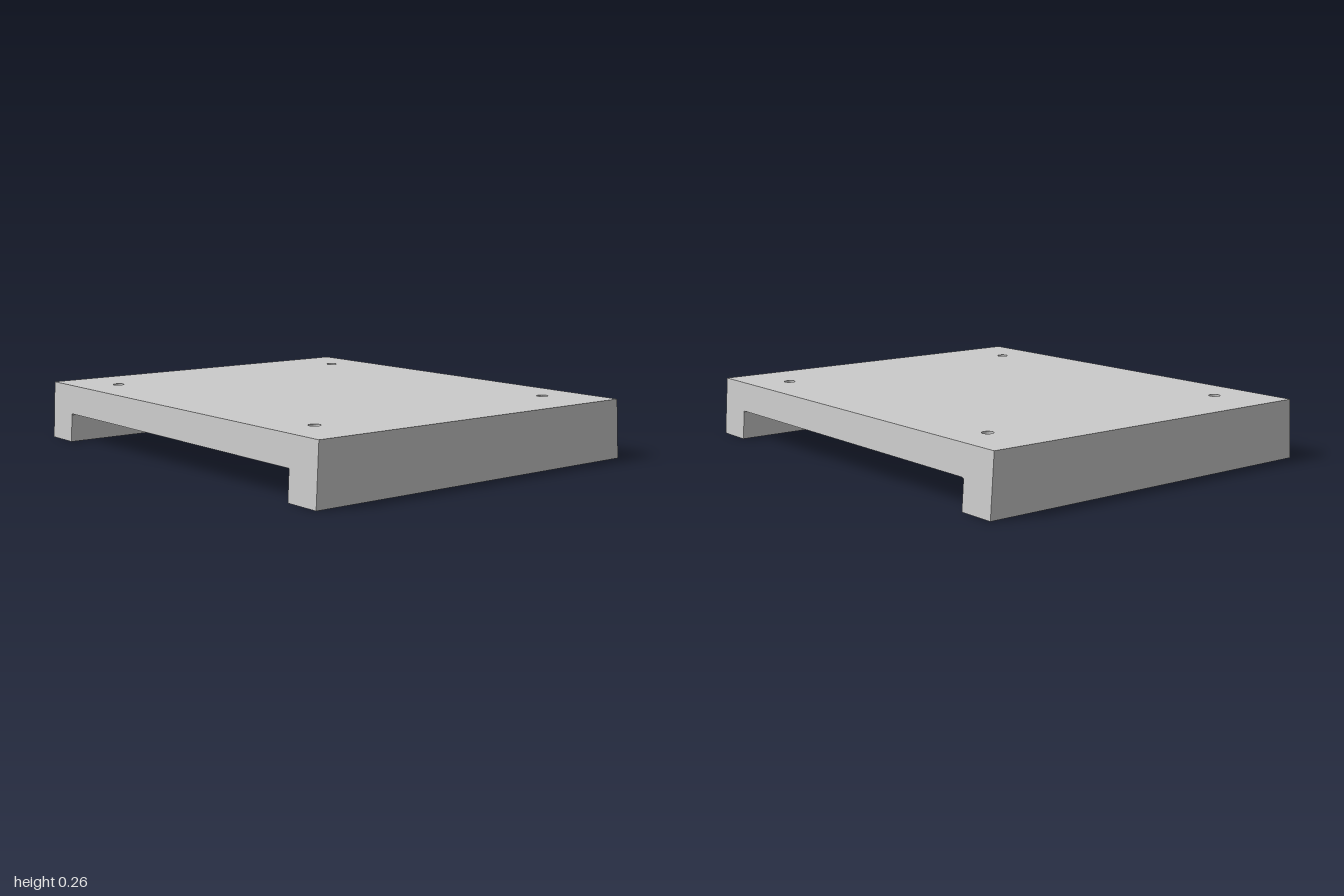
import * as THREE from 'three';
import { toCreasedNormals } from 'three/addons/utils/BufferGeometryUtils.js';

const H = 0.26;        // total height
const CEIL = 0.23;     // underside of the top plate
const RIM = 0.13;      // underside of rims and screw bosses
const LEG = 0.83;      // inner face of the legs
const HOLE = { x: 0.735, z: 0.63 };

// outer front and back faces lean inward slightly towards the top
const frontZ = (y) => 0.83 - 0.013 * y / H;
const backZ = (y) => -0.828 + 0.018 * y / H;

const poly = (pts) => new THREE.Shape(pts.map(([a, b]) => new THREE.Vector2(a, b)));
const circle = (x, y, r) => new THREE.Path().absarc(x, y, r, 0, Math.PI * 2, true);

// plan outline (x, -z) raised from y0 to y1, with the outer faces leaned
function slab(shape, y0, y1) {
  const geo = new THREE.ExtrudeGeometry(shape, { depth: y1 - y0, bevelEnabled: false, curveSegments: 16 });
  geo.rotateX(-Math.PI / 2).translate(0, y0, 0);
  const p = geo.attributes.position;
  for (let i = 0; i < p.count; i++) {
    if (p.getZ(i) > 0.8) p.setZ(i, frontZ(p.getY(i)));
    if (p.getZ(i) < -0.8) p.setZ(i, backZ(p.getY(i)));
  }
  return toCreasedNormals(geo, 0.5);
}

// side outline (-z, y) run along x from x0 to x1
function bar(shape, x0, x1) {
  const geo = new THREE.ExtrudeGeometry(shape, { depth: x1 - x0, bevelEnabled: false });
  return geo.rotateY(Math.PI / 2).translate(x0, 0, 0);
}

export function createModel() {
  const group = new THREE.Group();
  const material = new THREE.MeshStandardMaterial({ color: 0xcccccc });
  const add = (name, geo) => {
    const mesh = new THREE.Mesh(geo, material);
    mesh.name = name;
    group.add(mesh);
  };

  // top plate with four screw holes
  const plate = poly([[-1, -0.82], [1, -0.82], [1, 0.82], [-1, 0.82]]);
  for (const sx of [-1, 1]) for (const sz of [-1, 1])
    plate.holes.push(circle(sx * HOLE.x, sz * HOLE.z, 0.025));
  add('topPlate', slab(plate, CEIL, H));

  // front and back rims, each with a drilled boss at both ends
  for (const s of [-1, 1]) {
    const rim = poly([
      [-LEG, s * 0.82], [LEG, s * 0.82], [LEG, s * 0.55], [0.62, s * 0.55],
      [0.62, s * 0.775], [-0.62, s * 0.775], [-0.62, s * 0.55], [-LEG, s * 0.55],
    ]);
    for (const sx of [-1, 1]) rim.holes.push(circle(sx * HOLE.x, s * HOLE.z, 0.018));
    add(s < 0 ? 'frontRim' : 'backRim', slab(rim, RIM, CEIL));
  }

  // side legs: a solid outer skin and an inner part with a long slot
  const profile = () => poly([
    [-frontZ(0), 0], [-backZ(0), 0], [-backZ(CEIL), CEIL], [-frontZ(CEIL), CEIL],
  ]);
  const slotted = profile();
  slotted.holes.push(poly([[-0.5, 0.11], [-0.5, 0.21], [0.46, 0.21], [0.46, 0.11]]));
  const span = (s, a, b) => (s > 0 ? [a, b] : [-b, -a]);
  for (const s of [-1, 1]) {
    const side = s > 0 ? 'left' : 'right';
    add(side + 'LegInner', bar(slotted, ...span(s, LEG, 0.96)));
    add(side + 'LegSkin', bar(profile(), ...span(s, 0.96, 1)));

    // small fillets where the legs meet the rims
    const fillet = new THREE.Shape();
    fillet.moveTo(s * LEG, RIM);
    fillet.lineTo(s * (LEG - 0.016), RIM);
    fillet.quadraticCurveTo(s * LEG, RIM, s * LEG, RIM - 0.016);
    for (const z0 of [-0.818, 0.55]) {
      const geo = new THREE.ExtrudeGeometry(fillet, { depth: 0.268, bevelEnabled: false, curveSegments: 6 });
      add(side + 'Fillet', geo.translate(0, 0, z0));
    }
  }
  return group;
}
